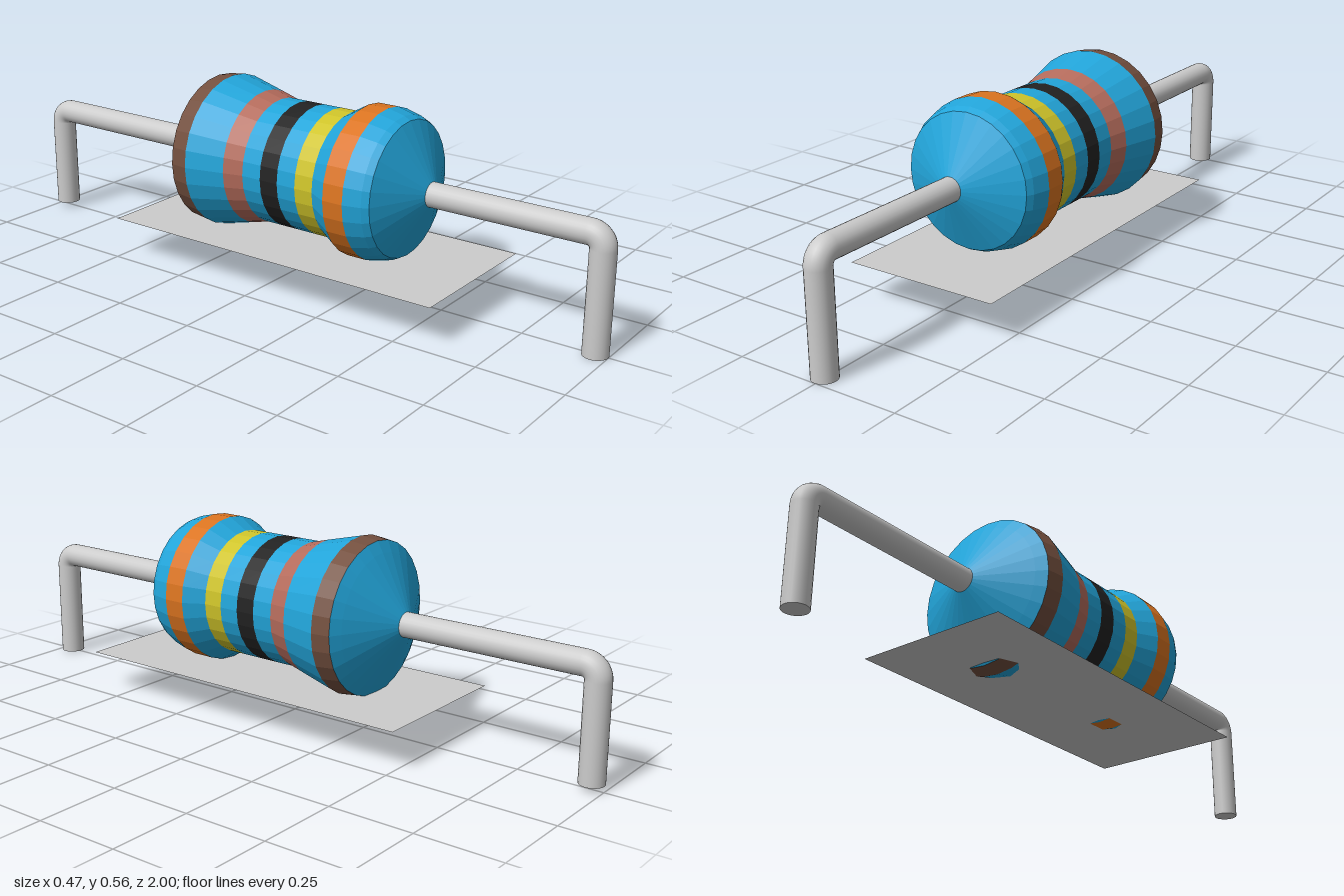
import * as THREE from 'three';

const AXIS_X = -0.002, AXIS_Y = 0.333; // centre line of body and wire
const SIDES = 28;

const COLORS = {
  blue: 0x22a5da, brown: 0x74503f, rose: 0xb56c5c,
  black: 0x222222, yellow: 0xcfc42a, orange: 0xdb7420,
};

// Body strips from back to front: name, colour, [z, radius] outline
const STRIPS = [
  ['backCap', 'blue', [[-0.386, 0.036], [-0.305, 0.19], [-0.287, 0.222]]],
  ['brownBand', 'brown', [[-0.287, 0.222], [-0.232, 0.229]]],
  ['backShoulder', 'blue', [[-0.232, 0.229], [-0.114, 0.2]]],
  ['roseBand', 'rose', [[-0.114, 0.2], [-0.055, 0.185]]],
  ['backWaist', 'blue', [[-0.055, 0.185], [0.008, 0.185]]],
  ['blackBand', 'black', [[0.008, 0.185], [0.068, 0.185]]],
  ['frontWaist', 'blue', [[0.068, 0.185], [0.129, 0.185]]],
  ['yellowBand', 'yellow', [[0.129, 0.185], [0.188, 0.185]]],
  ['frontShoulder', 'blue', [[0.188, 0.185], [0.248, 0.219]]],
  ['orangeBand', 'orange', [[0.248, 0.219], [0.312, 0.219]]],
  ['frontCap', 'blue', [[0.312, 0.219], [0.364, 0.206], [0.384, 0.196], [0.459, 0.036]]],
];

function createBody() {
  const body = new THREE.Group();
  body.name = 'body';
  for (const [name, color, outline] of STRIPS) {
    const geometry = new THREE.LatheGeometry(outline.map(([z, r]) => new THREE.Vector2(r, z)), SIDES);
    geometry.rotateX(Math.PI / 2);
    const strip = new THREE.Mesh(geometry,
      new THREE.MeshStandardMaterial({ color: COLORS[color], flatShading: true }));
    strip.name = name;
    body.add(strip);
  }
  body.position.set(AXIS_X, AXIS_Y, 0);
  return body;
}

// Wire running out along +z, bending down to the given foot height
function createLead(name, footY, material) {
  const lead = new THREE.Group();
  lead.name = name;
  const r = 0.036, bend = 0.038, reach = 1 - r, inner = 0.3;
  const add = (part, geometry) => {
    const mesh = new THREE.Mesh(geometry, material);
    mesh.name = part;
    lead.add(mesh);
  };

  const runLength = reach - bend - inner;
  add('run', new THREE.CylinderGeometry(r, r, runLength, 24)
    .rotateX(Math.PI / 2).translate(0, AXIS_Y, inner + runLength / 2));

  add('bend', new THREE.TorusGeometry(bend, r, 24, 10, Math.PI / 2)
    .rotateY(-Math.PI / 2).translate(0, AXIS_Y - bend, reach - bend));

  const legLength = AXIS_Y - bend - footY;
  add('leg', new THREE.CylinderGeometry(r, r, legLength, 24)
    .translate(0, footY + legLength / 2, reach));
  return lead;
}

export function createModel() {
  const model = new THREE.Group();
  model.name = 'resistor';
  const grey = new THREE.MeshStandardMaterial({ color: 0xcccccc });

  model.add(createBody());

  // Bent wire leads
  const front = createLead('frontLead', 0, grey);
  const back = createLead('backLead', 0.016, grey);
  back.rotation.y = Math.PI;
  front.position.x = back.position.x = AXIS_X;
  model.add(front, back);

  // Thin sheet just cutting the underside of the body
  const sheet = new THREE.Mesh(
    new THREE.PlaneGeometry(0.47, 1.11).rotateX(-Math.PI / 2),
    new THREE.MeshStandardMaterial({ color: 0xcccccc, side: THREE.DoubleSide }));
  sheet.name = 'baseSheet';
  sheet.position.set(0, 0.118, 0.047);
  model.add(sheet);

  return model;
}
